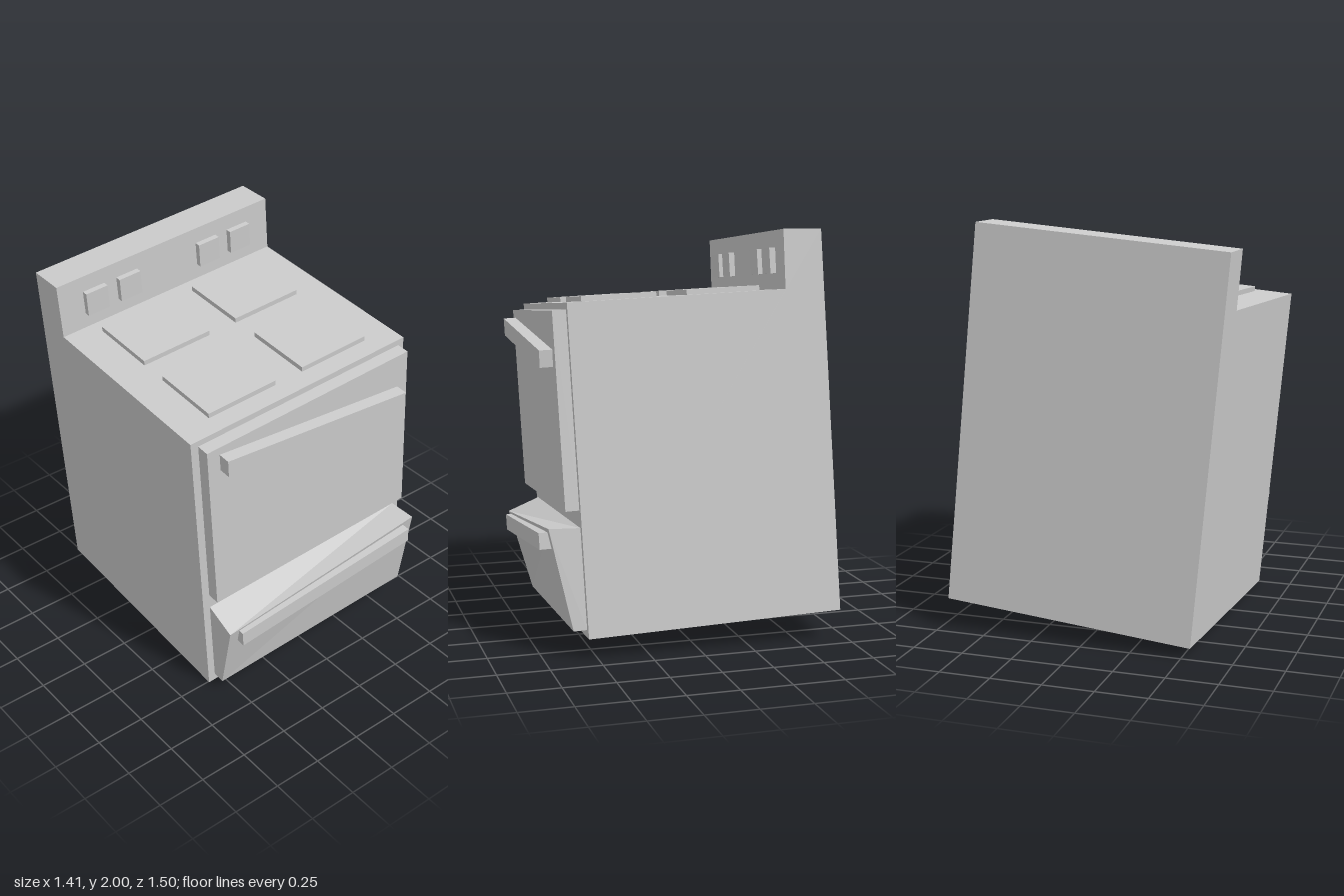
import * as THREE from 'three';

const material = new THREE.MeshStandardMaterial({ color: 0xcccccc, flatShading: true, side: THREE.DoubleSide });

const HALF = 0.626;   // half width and half depth of the body
const TOP = 1.573;    // height of the cooktop

function addMesh(parent, name, geometry) {
  const mesh = new THREE.Mesh(geometry, material);
  mesh.name = name;
  parent.add(mesh);
  return mesh;
}

// Geometry from a list of four-cornered faces, corners counter-clockwise
function quads(faces) {
  const positions = [];
  for (const [a, b, c, d] of faces) positions.push(...a, ...b, ...c, ...a, ...c, ...d);
  const geometry = new THREE.BufferGeometry();
  geometry.setAttribute('position', new THREE.Float32BufferAttribute(positions, 3));
  geometry.computeVertexNormals();
  return geometry;
}

// Panel raised from an open base loop to a capped front loop
function raised(base, cap) {
  const faces = [cap];
  for (let i = 0; i < 4; i++) {
    const j = (i + 1) % 4;
    faces.push([base[i], base[j], cap[j], cap[i]]);
  }
  return quads(faces);
}

const rectangle = (x0, x1, y0, y1, z) => [[x0, y0, z], [x1, y0, z], [x1, y1, z], [x0, y1, z]];

export function createModel() {
  const model = new THREE.Group();
  model.name = 'stove';

  // The whole stove leans a little
  const stove = new THREE.Group();
  stove.name = 'leaningStove';
  stove.position.set(0.062, 0.081, -0.099);
  stove.rotation.set(0.0415, -0.029, 0.0835);
  model.add(stove);

  // Side walls, one profile in (z, y)
  const profile = [
    [HALF, 0], [HALF, TOP], [-0.432, TOP], [-0.437, 1.857], [-HALF, 1.849], [-HALF, 0],
  ];
  const sideShape = new THREE.Shape(profile.map(([z, y]) => new THREE.Vector2(z, y)));
  for (const [name, x] of [['leftWall', HALF], ['rightWall', -HALF]]) {
    const wall = new THREE.ShapeGeometry(sideShape).rotateY(-Math.PI / 2).translate(x, 0, 0);
    addMesh(stove, name, wall);
  }

  // Cooktop, control panel and back follow the profile; the underside stays open
  const strip = ['cooktop', 'controlPanelFront', 'controlPanelTop', 'backWall'];
  strip.forEach((name, i) => {
    const [z0, y0] = profile[i + 1];
    const [z1, y1] = profile[i + 2];
    addMesh(stove, name, quads([[[-HALF, y0, z0], [HALF, y0, z0], [HALF, y1, z1], [-HALF, y1, z1]]]));
  });

  // Front frame with openings for door and drawer
  const doorBase = rectangle(-0.586, 0.594, 0.606, 1.542, HALF);
  const drawerBase = rectangle(-0.588, 0.592, 0.038, 0.523, HALF);
  const frame = new THREE.Shape([[-HALF, 0], [HALF, 0], [HALF, TOP], [-HALF, TOP]]
    .map(([x, y]) => new THREE.Vector2(x, y)));
  for (const base of [doorBase, drawerBase]) {
    frame.holes.push(new THREE.Path(base.map(([x, y]) => new THREE.Vector2(x, y))));
  }
  addMesh(stove, 'frontFrame', new THREE.ShapeGeometry(frame).translate(0, 0, HALF));

  // Oven door
  addMesh(stove, 'ovenDoor', raised(doorBase, doorBase.map(([x, y]) => [x, y, 0.692])));

  // Drawer, tipped open at the top and a little crooked
  addMesh(stove, 'drawer', raised(drawerBase, [
    [-0.588, 0.038, 0.69], [0.59, 0.038, 0.69], [0.594, 0.533, 0.777], [-0.59, 0.463, 0.791],
  ]));

  // Crooked handles
  const ovenGrip = [[-0.519, 1.412], [0.526, 1.279], [0.536, 1.36], [-0.519, 1.502]];
  addMesh(stove, 'ovenHandle', raised(
    ovenGrip.map(([x, y]) => [x, y, 0.692]),
    ovenGrip.map(([x, y]) => [x, y, 0.755]),
  ));
  const drawerGrip = [[-0.533, 0.372], [0.535, 0.43], [0.535, 0.509], [-0.533, 0.454]];
  addMesh(stove, 'drawerHandle', raised(
    drawerGrip.map(([x, y]) => [x, y, 0.755]),
    drawerGrip.map(([x, y]) => [x, y, 0.815]),
  ));

  // Four square burners
  for (const x of [-0.262, 0.276]) {
    for (const z of [-0.171, 0.344]) {
      const burner = addMesh(stove, 'burner', new THREE.BoxGeometry(0.381, 0.025, 0.365));
      burner.position.set(x, TOP + 0.0125, z);
    }
  }

  // Square knobs in two pairs
  for (const x of [-0.427, -0.235, 0.241, 0.434]) {
    const knob = addMesh(stove, 'knob', new THREE.BoxGeometry(0.122, 0.124, 0.03));
    knob.position.set(x, 1.713, -0.42);
  }

  return model;
}
